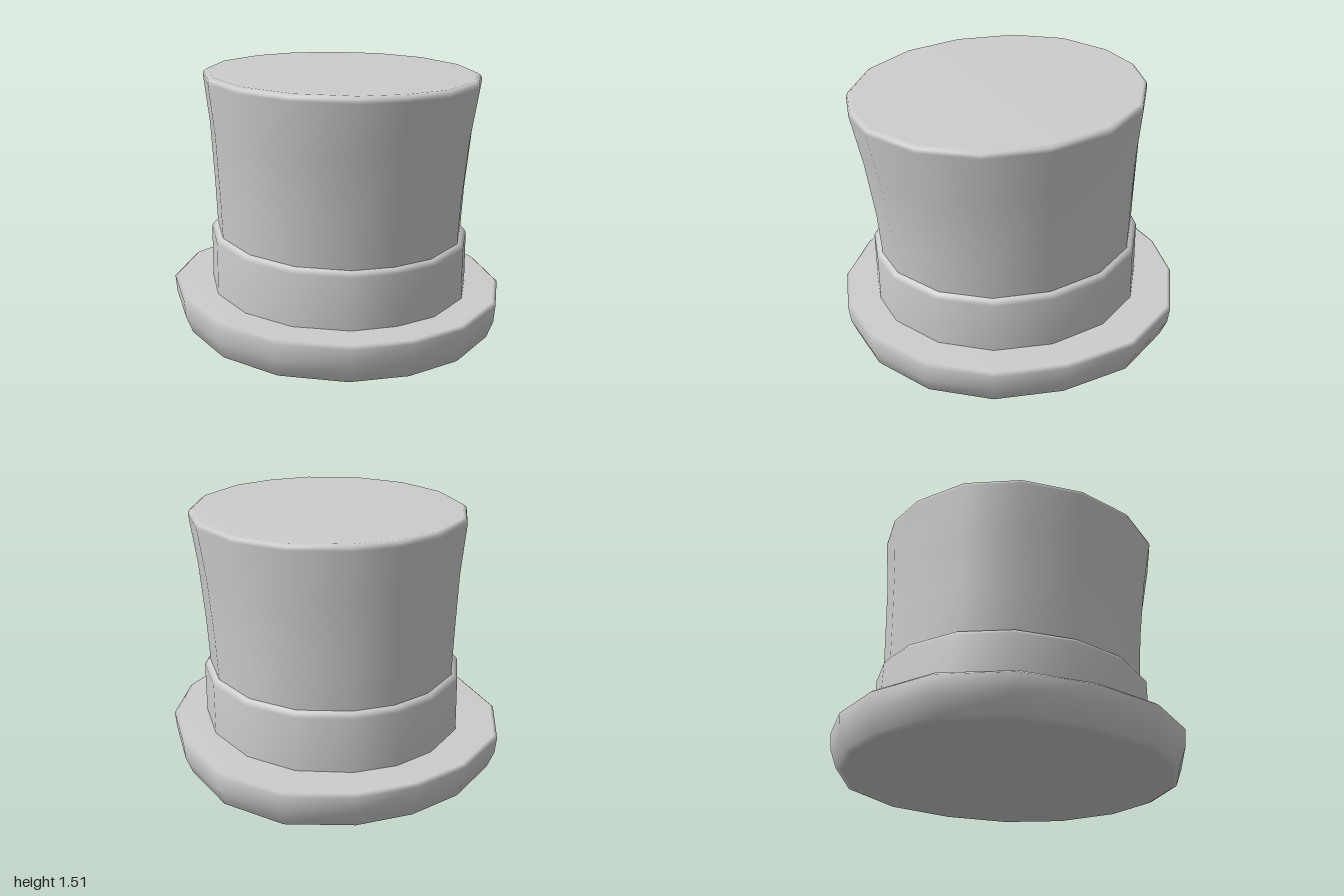
import * as THREE from 'three';

// Half outlines from front (z = 1) to back (z = -1), in unit size
const BRIM = [[0, 1], [0.35, 0.94], [0.695, 0.725], [0.92, 0.4], [1, 0], [0.95, -0.42], [0.72, -0.76], [0.35, -0.95], [0, -1]];
const CROWN = [[0, 1], [0.325, 0.955], [0.685, 0.74], [0.917, 0.408], [1, 0], [0.917, -0.42], [0.685, -0.745], [0.325, -0.945], [0, -1]];

const mirrored = (half) => [...half, ...half.slice(1, -1).reverse().map(([x, z]) => [-x, z])];

// Loft tilted rings, each [halfWidth, zBack, zFront, yBack, yFront], bottom to top
function loft(half, rings, capBottom, capTop) {
  const outline = mirrored(half);
  const n = outline.length;
  const pos = [];
  const index = [];
  for (const [w, zb, zf, yb, yf] of rings) {
    for (const [x, z] of outline) {
      const t = (z + 1) / 2;
      pos.push(x * w, yb + (yf - yb) * t, zb + (zf - zb) * t);
    }
  }
  for (let r = 0; r < rings.length - 1; r++) {
    for (let i = 0; i < n; i++) {
      const a = r * n + i;
      const b = r * n + ((i + 1) % n);
      index.push(a, b, b + n, a, b + n, a + n);
    }
  }
  const cap = (r, up) => {
    const [, zb, zf, yb, yf] = rings[r];
    const c = pos.length / 3;
    pos.push(0, (yb + yf) / 2, (zb + zf) / 2);
    for (let i = 0; i < n; i++) {
      const a = r * n + i;
      const b = r * n + ((i + 1) % n);
      if (up) index.push(a, b, c);
      else index.push(b, a, c);
    }
  };
  if (capBottom) cap(0, false);
  if (capTop) cap(rings.length - 1, true);
  const geo = new THREE.BufferGeometry();
  geo.setAttribute('position', new THREE.Float32BufferAttribute(pos, 3));
  geo.setIndex(index);
  geo.computeVertexNormals();
  return geo;
}

export function createModel() {
  const group = new THREE.Group();
  group.name = 'topHat';
  const grey = new THREE.MeshStandardMaterial({ color: 0xcccccc });
  grey.name = 'light grey';
  const add = (name, geo) => {
    const mesh = new THREE.Mesh(geo, grey);
    mesh.name = name;
    group.add(mesh);
  };

  // Thick brim with rounded lower edge and flat underside
  add('brim', loft(BRIM, [
    [0.865, -0.925, 0.92, 0.025, 0],
    [0.9, -0.955, 0.955, 0.04, 0.018],
    [0.937, -0.99, 0.99, 0.14, 0.115],
    [0.945, -1, 1, 0.235, 0.215],
    [0.925, -0.98, 0.98, 0.252, 0.232],
  ], true, true));

  // Hat band with a bevelled top edge
  add('band', loft(CROWN, [
    [0.746, -0.788, 0.802, 0.235, 0.215],
    [0.743, -0.777, 0.8, 0.565, 0.525],
    [0.725, -0.762, 0.785, 0.59, 0.548],
    [0.7, -0.735, 0.757, 0.597, 0.557],
  ], false, false));

  // Flaring crown with a closed, tilted top
  add('crown', loft(CROWN, [
    [0.706, -0.742, 0.765, 0.55, 0.51],
    [0.718, -0.744, 0.785, 0.84, 0.8],
    [0.74, -0.75, 0.832, 1.19, 1.15],
    [0.775, -0.77, 0.888, 1.475, 1.437],
    [0.769, -0.767, 0.88, 1.495, 1.458],
    [0.748, -0.75, 0.86, 1.508, 1.472],
  ], false, true));

  return group;
}
